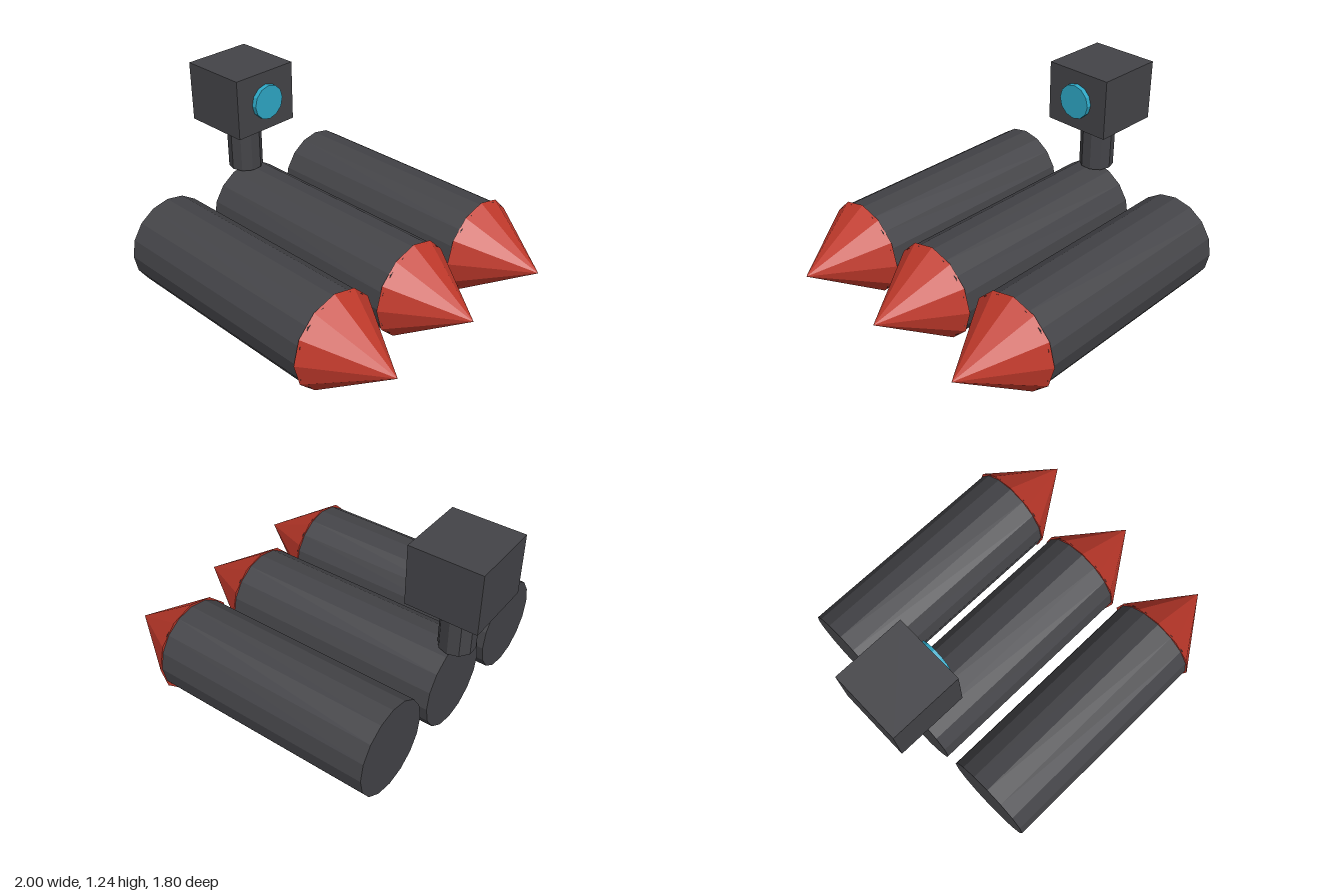
import * as THREE from 'three';

const material = (color) => new THREE.MeshStandardMaterial({ color, flatShading: true });

export function createModel() {
  const model = new THREE.Group();
  const dark = material(0x444448);
  const red = material(0xc0392b);
  const blue = material(0x2ea8c6);

  function add(parent, name, geometry, mat, x, y, z) {
    const mesh = new THREE.Mesh(geometry, mat);
    mesh.name = name;
    mesh.position.set(x, y, z);
    parent.add(mesh);
  }
  // Turns a geometry standing on y so that its top points along +x
  const alongX = (geometry) => geometry.rotateZ(-Math.PI / 2);

  // Three parallel tubes with slightly wider pointed noses
  const axisY = 0.288, back = -0.787, bodyEnd = 0.587, noseBase = 0.575;
  const bodyLength = bodyEnd - back, noseLength = 1 - noseBase;
  for (const [side, z] of [['right', -0.61], ['middle', 0], ['left', 0.61]]) {
    const rocket = new THREE.Group();
    rocket.name = side + 'Rocket';
    rocket.position.set(0, axisY, z);
    add(rocket, 'body', alongX(new THREE.CylinderGeometry(0.274, 0.274, bodyLength, 16)), dark,
      (back + bodyEnd) / 2, 0, 0);
    add(rocket, 'noseCone', alongX(new THREE.ConeGeometry(0.288, noseLength, 12)), red,
      noseBase + noseLength / 2, 0, 0);
    model.add(rocket);
  }

  // Sensor head on a post at the rear of the middle tube
  const sensor = new THREE.Group();
  sensor.name = 'sensor';
  sensor.position.x = back;
  add(sensor, 'post', new THREE.CylinderGeometry(0.105, 0.105, 0.312, 10), dark, 0, 0.721, 0);
  add(sensor, 'head', new THREE.BoxGeometry(0.425, 0.363, 0.425), dark, 0, 1.058, 0);
  add(sensor, 'lens', alongX(new THREE.CylinderGeometry(0.105, 0.105, 0.06, 12)), blue, 0.212, 1.058, 0);
  model.add(sensor);

  return model;
}
